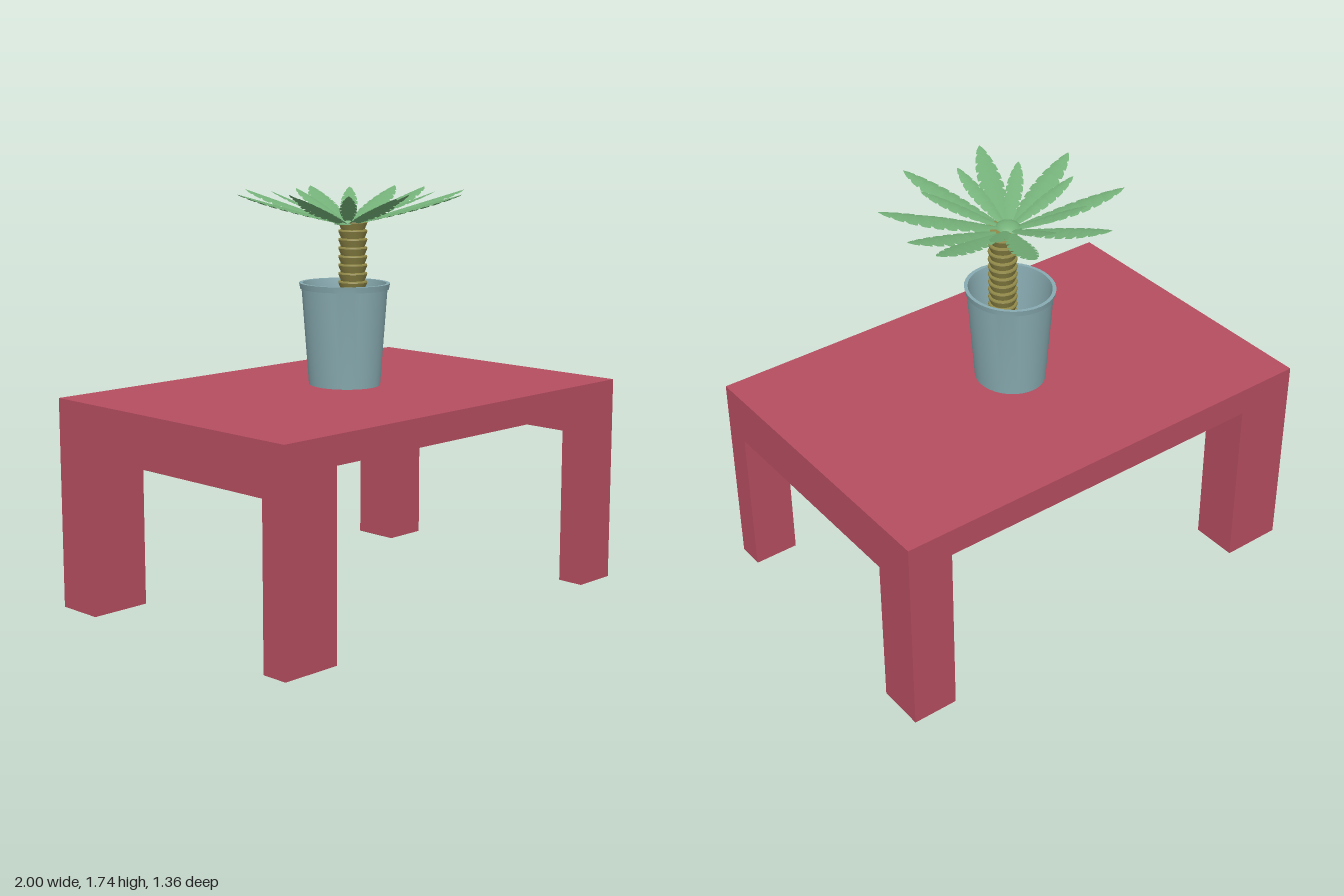
import * as THREE from 'three';
import { toCreasedNormals } from 'three/addons/utils/BufferGeometryUtils.js';

const paint = (color, side = THREE.FrontSide) => new THREE.MeshStandardMaterial({ color, side });
const red = paint(0xb54d5f);
const potBlue = paint(0x87aab0, THREE.DoubleSide);
const bark = paint(0x8f8747, THREE.DoubleSide);
const green = paint(0x74b078, THREE.DoubleSide);

function part(name, geometry, material) {
  const mesh = new THREE.Mesh(geometry, material);
  mesh.name = name;
  return mesh;
}

function lathe(points, segments) {
  const profile = points.map(([r, y]) => new THREE.Vector2(r, y));
  return toCreasedNormals(new THREE.LatheGeometry(profile, segments), 0.5);
}

// Two legs joined by a deep rail, cut from one slab between x0 and x1
function sideFrame(name, x0, x1) {
  const outline = [[-0.68, 0], [-0.47, 0], [-0.47, 0.68], [0.56, 0.68],
    [0.56, 0], [0.68, 0], [0.68, 0.9], [-0.68, 0.9]];
  const shape = new THREE.Shape(outline.map(([z, y]) => new THREE.Vector2(z, y)));
  const geometry = new THREE.ExtrudeGeometry(shape, { depth: x1 - x0, bevelEnabled: false });
  geometry.rotateY(-Math.PI / 2).translate(x1, 0, 0);
  return part(name, geometry, red);
}

// Notched leaf with a raised midrib, running from base to tip
function leafGeometry(base, tip, halfWidth, notches) {
  const along = tip.clone().sub(base);
  const side = new THREE.Vector3(-along.z, 0, along.x).normalize();
  const rows = [[0, 1]];
  for (let i = 0; i < notches; i++) {
    const t = 0.25 + (0.65 * i) / (notches - 1);
    rows.push([t - 0.03, 1], [t, 0.72], [t + 0.012, 1]);
  }
  rows.push([0.96, 1], [1, 1]);
  const positions = [];
  const index = [];
  rows.forEach(([t, cut], i) => {
    const w = halfWidth * cut * Math.max(0.02, Math.pow(Math.sin(Math.PI * (0.06 + 0.94 * Math.pow(t, 1.25))), 0.65));
    const mid = base.clone().addScaledVector(along, t);
    for (const s of [-1, 0, 1]) {
      const p = mid.clone().addScaledVector(side, s * w);
      p.y -= Math.abs(s) * w * 0.25;
      positions.push(p.x, p.y, p.z);
    }
    if (i === 0) return;
    for (const k of [0, 1]) {
      const a = (i - 1) * 3 + k, b = a + 3;
      index.push(a, a + 1, b, a + 1, b + 1, b);
    }
  });
  const geometry = new THREE.BufferGeometry();
  geometry.setAttribute('position', new THREE.Float32BufferAttribute(positions, 3));
  // Wind the faces so they look upward
  for (let i = 0; i < index.length; i += 3) [index[i + 1], index[i + 2]] = [index[i + 2], index[i + 1]];
  geometry.setIndex(index);
  geometry.computeVertexNormals();
  if (geometry.attributes.normal.getY(4) < 0) {
    geometry.setIndex(index.reverse());
    geometry.computeVertexNormals();
  }
  return geometry;
}

function createTable() {
  const table = new THREE.Group();
  table.name = 'table';
  table.add(sideFrame('leftSideFrame', 0.8, 1), sideFrame('rightSideFrame', -1, -0.73));
  const top = part('tableTop', new THREE.BoxGeometry(1.53, 0.12, 1.36), red);
  top.position.set(0.035, 0.84, 0);
  table.add(top);
  return table;
}

function createPlant() {
  const plant = new THREE.Group();
  plant.name = 'pottedPalm';

  // Hollow, slightly oval pot with a rim
  const pot = part('pot', lathe([[0, 0.92], [0.158, 0.92], [0.189, 1.33], [0.195, 1.33], [0.2, 1.355],
    [0.184, 1.355], [0.18, 1.33], [0.15, 0.94], [0, 0.94]], 40), potBlue);
  pot.scale.x = 0.93;
  plant.add(pot);

  // Trunk of stacked rings that flare upward
  const rings = 19, ringHeight = 0.036, trunkBase = 0.935;
  const profile = [[0, trunkBase]];
  for (let i = 0; i < rings; i++) {
    const y = trunkBase + i * ringHeight;
    profile.push([0.05, y], [0.062, y + ringHeight * 0.8], [0.06, y + ringHeight * 0.95]);
  }
  profile.push([0, trunkBase + rings * ringHeight]);
  const trunk = part('trunk', lathe(profile, 20), bark);
  trunk.position.set(0.003, 0, 0.046);
  plant.add(trunk);

  // Low dome at the heart of the crown
  const heart = part('crownHeart', new THREE.SphereGeometry(0.057, 20, 8, 0, Math.PI * 2, 0, Math.PI / 2), green);
  heart.scale.y = 0.6;
  heart.position.set(-0.015, 1.605, 0.035);
  plant.add(heart);

  // Leaf tips as x, z: a long spreading ring and a short steeper ring
  const longTips = [[-0.19, -0.41], [0.19, -0.4], [0.47, -0.15], [0.5, 0], [0.455, 0.27],
    [0.175, 0.5], [-0.21, 0.49], [-0.47, 0.21], [-0.455, -0.17]];
  const shortTips = [[0, -0.295], [0.235, -0.2], [-0.235, -0.2], [-0.35, 0.03], [-0.25, 0.27],
    [-0.015, 0.38], [0.225, 0.305], [0.335, 0.14]];
  const crown = new THREE.Group();
  crown.name = 'leaves';
  const addRing = (name, tips, halfWidth, baseY, tipY, notches) => tips.forEach(([x, z]) => {
    const out = new THREE.Vector3(x + 0.015, 0, z - 0.035).normalize();
    const base = new THREE.Vector3(-0.015, baseY, 0.035).addScaledVector(out, 0.035);
    crown.add(part(name, leafGeometry(base, new THREE.Vector3(x, tipY, z), halfWidth, notches), green));
  });
  addRing('longLeaf', longTips, 0.052, 1.61, 1.74, 7);
  addRing('shortLeaf', shortTips, 0.036, 1.62, 1.742, 6);
  plant.add(crown);
  return plant;
}

export function createModel() {
  const model = new THREE.Group();
  model.name = 'tableWithPlant';
  model.add(createTable(), createPlant());
  return model;
}
